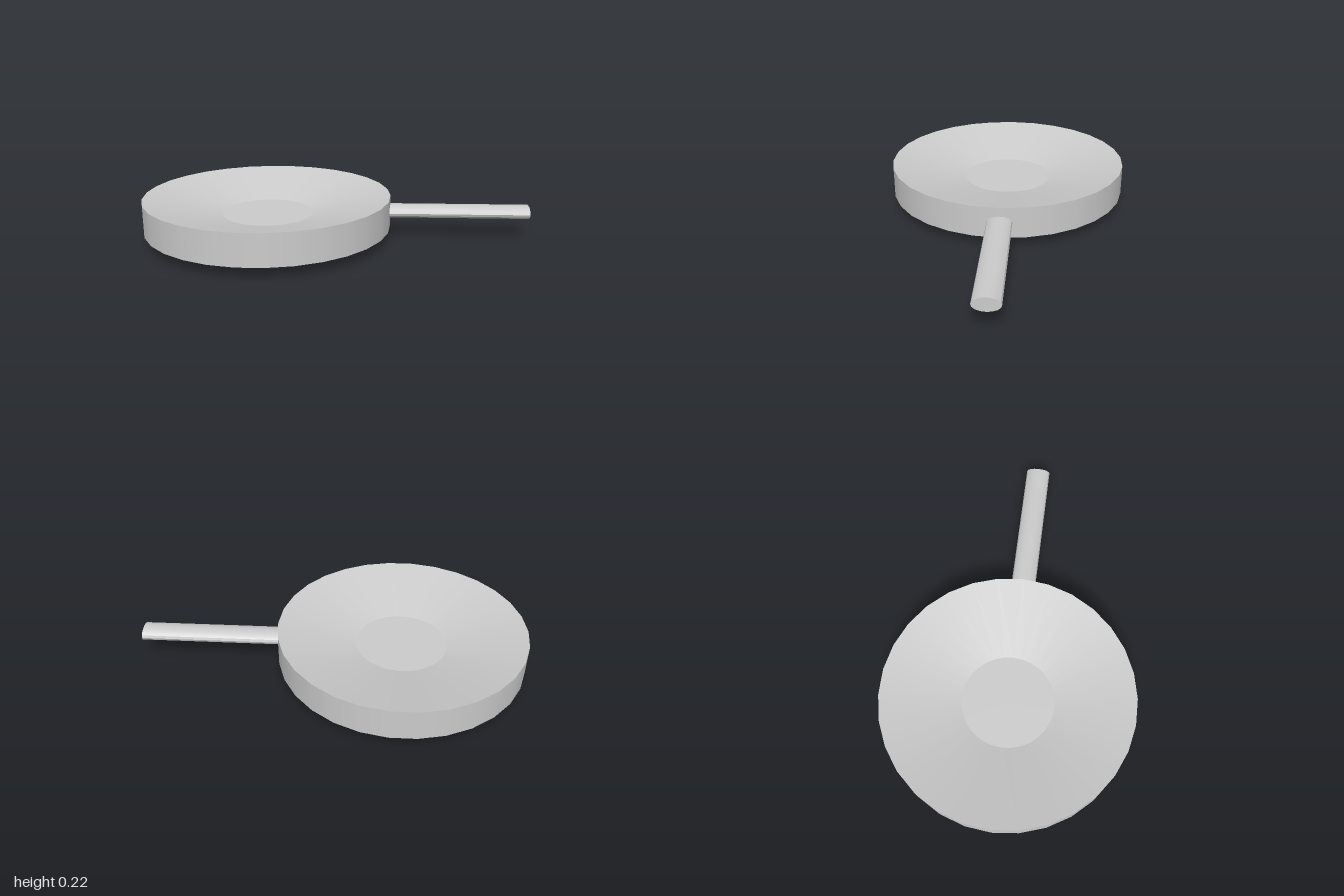
import * as THREE from 'three';
import { toCreasedNormals } from 'three/addons/utils/BufferGeometryUtils.js';

export function createModel() {
  const group = new THREE.Group();
  const material = new THREE.MeshStandardMaterial({ color: 0xcccccc });

  // Pan body: each band is its own lathe so the rings between bands stay sharp
  const pan = new THREE.Group();
  pan.name = 'pan';
  pan.position.x = -0.357;
  const profile = [
    ['base', 0, 0],
    ['lowerBevel', 0.487, 0],
    ['outerWall', 0.643, 0.055],
    ['innerSlope', 0.643, 0.218],
    ['cookingFloor', 0.237, 0.12],
    ['end', 0, 0.12],
  ];
  for (let i = 0; i < profile.length - 1; i++) {
    const [name, r0, y0] = profile[i];
    const [, r1, y1] = profile[i + 1];
    const points = [new THREE.Vector2(r0, y0), new THREE.Vector2(r1, y1)];
    const band = new THREE.Mesh(new THREE.LatheGeometry(points, 30, Math.PI / 2), material);
    band.name = name;
    pan.add(band);
  }
  group.add(pan);

  // Handle: flattened rod rooted in the pan wall
  const start = 0.25, end = 1;
  const rod = new THREE.CylinderGeometry(1, 1, end - start, 16);
  rod.rotateZ(-Math.PI / 2);
  rod.scale(1, 0.034, 0.064);
  const handle = new THREE.Mesh(toCreasedNormals(rod, Math.PI / 6), material);
  handle.name = 'handle';
  handle.position.set((start + end) / 2, 0.137, 0);
  group.add(handle);

  return group;
}
